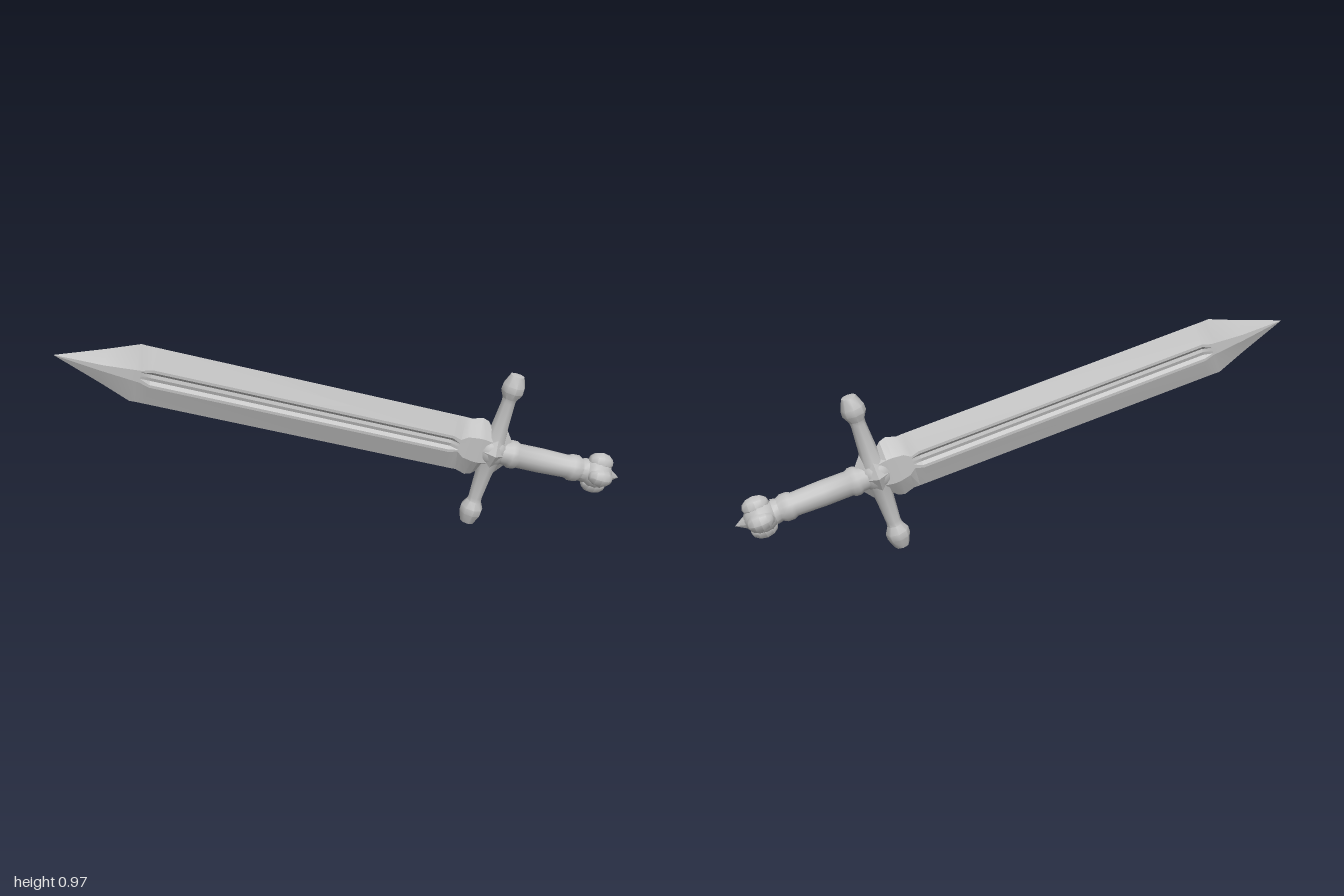
import * as THREE from 'three';
import { toCreasedNormals } from 'three/addons/utils/BufferGeometryUtils.js';

const steel = new THREE.MeshStandardMaterial({ color: 0xc0c0c0 });
steel.name = 'steel';

function part(parent, name, geometry, crease = 0.8) {
  const mesh = new THREE.Mesh(toCreasedNormals(geometry, crease), steel);
  mesh.name = name;
  parent.add(mesh);
  return mesh;
}

// Turned part from [radius, height] pairs, bottom to top
const turned = (points, sides) =>
  new THREE.LatheGeometry(points.map(([r, y]) => new THREE.Vector2(r, y)), sides);

// Loft of diamond cross-sections with a fuller on both faces
function bladeGeometry() {
  // [distance from guard, half width, flat half width, half thickness, fuller half thickness]
  const stations = [
    [0.0, 0.08, 0.05, 0.045, 0.045],
    [0.06, 0.138, 0.06, 0.047, 0.047],
    [0.09, 0.148, 0.06, 0.046, 0.046],
    [0.14, 0.133, 0.052, 0.04, 0.04],
    [0.17, 0.134, 0.03, 0.036, 0.036],
    [0.21, 0.134, 0.042, 0.036, 0.021],
    [1.62, 0.136, 0.042, 0.036, 0.021],
    [1.665, 0.136, 0.028, 0.036, 0.036],
    [1.69, 0.137, 0.026, 0.036, 0.036],
    [1.83, 0.081, 0.014, 0.032, 0.032],
    [2.045, 0.001, 0.0005, 0.001, 0.001],
  ];
  const positions = [], index = [];
  const n = 16;
  for (const [y, w, r, t, g] of stations) {
    const rib = g + (t - g) * 0.3;
    const half = [[w, 0], [r, t], [r * 0.7, t], [r * 0.36, g], [0, rib],
      [-r * 0.36, g], [-r * 0.7, t], [-r, t]];
    const loop = [...half, ...half.map(([x, z]) => [-x, -z])];
    for (const [x, z] of loop) positions.push(x, y, z);
  }
  for (let s = 0; s < stations.length - 1; s++) {
    for (let i = 0; i < n; i++) {
      const a = s * n + i, b = s * n + (i + 1) % n;
      index.push(a, a + n, b, b, a + n, b + n);
    }
  }
  const geometry = new THREE.BufferGeometry();
  geometry.setAttribute('position', new THREE.Float32BufferAttribute(positions, 3));
  geometry.setIndex(index);
  return geometry;
}

export function createModel() {
  const model = new THREE.Group();
  model.name = 'sword';

  // Sword built along +y with its guard along x, then tilted into place
  const sword = new THREE.Group();
  sword.name = 'swordBody';
  model.add(sword);

  part(sword, 'blade', bladeGeometry(), 0.3);

  // Crossguard: two mirrored arms with faceted end knobs
  const arm = turned([[0.065, 0], [0.05, 0.07], [0.042, 0.13], [0.034, 0.25], [0.036, 0.27],
    [0.055, 0.305], [0.054, 0.335], [0.034, 0.385], [0, 0.393]], 8);
  for (const side of [-1, 1]) {
    part(sword, side > 0 ? 'upperGuardArm' : 'lowerGuardArm', arm).rotation.z = -side * Math.PI / 2;
  }

  // Guard centre: rounded boss with a pointed star
  part(sword, 'guardBoss', new THREE.SphereGeometry(1, 12, 8)).scale.set(0.08, 0.08, 0.068);
  part(sword, 'guardStar', new THREE.OctahedronGeometry(1), 0.3).scale.set(0.17, 0.13, 0.085);

  // Grip with a collar at each end
  const grip = turned([[0.055, 0], [0.058, 0.075], [0.068, 0.09], [0.068, 0.115], [0.059, 0.13],
    [0.06, 0.25], [0.056, 0.385], [0.065, 0.405], [0.065, 0.435], [0.054, 0.455],
    [0.06, 0.48]], 14);
  part(sword, 'grip', grip).rotation.x = Math.PI;

  // Pommel: four lobes around a round core with a pointed end
  part(sword, 'pommelCore', new THREE.SphereGeometry(0.078, 12, 8)).position.y = -0.54;
  const lobe = new THREE.SphereGeometry(0.048, 8, 6);
  for (let i = 0; i < 4; i++) {
    const angle = i * Math.PI / 2;
    const mesh = part(sword, 'pommelLobe', lobe);
    mesh.position.set(Math.cos(angle) * 0.058, -0.545, Math.sin(angle) * 0.05);
    mesh.scale.y = 1.3;
  }
  const point = part(sword, 'pommelPoint', new THREE.ConeGeometry(0.07, 0.11, 8));
  point.rotation.x = Math.PI;
  point.position.y = -0.605;

  // Place: blade direction, then guard direction made square to it
  const along = new THREE.Vector3(-0.616, 0.27, 0.74).normalize();
  const across = new THREE.Vector3(0.192, 0.961, -0.191);
  across.addScaledVector(along, -across.dot(along)).normalize();
  const depth = new THREE.Vector3().crossVectors(across, along);
  sword.quaternion.setFromRotationMatrix(new THREE.Matrix4().makeBasis(across, along, depth));
  sword.position.set(0.42, 0.387, -0.509);
  return model;
}
